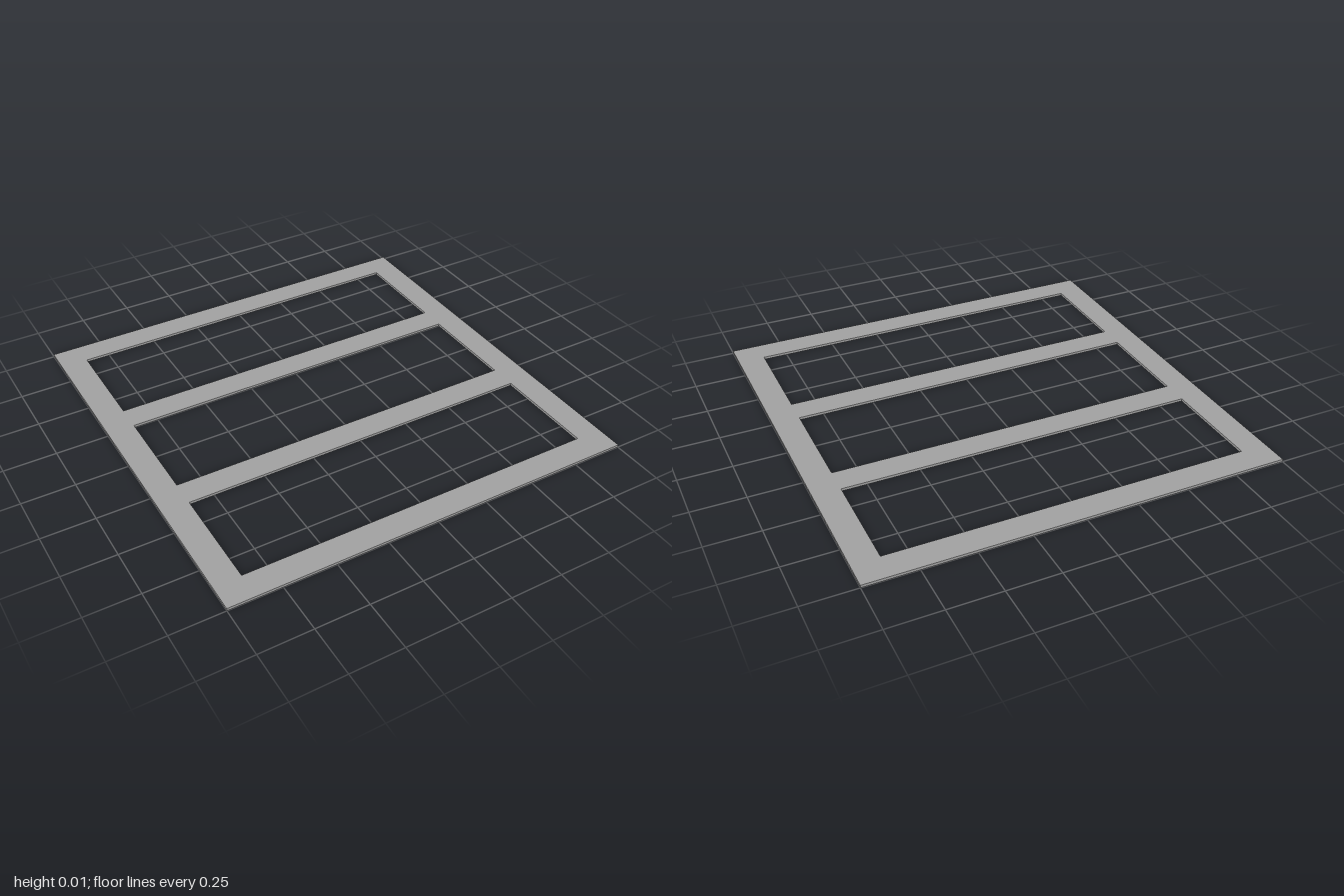
import * as THREE from 'three';

const THICKNESS = 0.013;
const BAR = 0.13;

// Closed rectangle given by its edges
function rectangle(PathType, x0, y0, x1, y1) {
  const path = new PathType();
  path.moveTo(x0, y0);
  path.lineTo(x1, y0);
  path.lineTo(x1, y1);
  path.lineTo(x0, y1);
  path.closePath();
  return path;
}

export function createModel() {
  const group = new THREE.Group();
  group.name = 'windowFrame';
  const grey = new THREE.MeshStandardMaterial({ color: 0xa0a0a0 });
  grey.name = 'grey';

  // Square outline with one opening between each pair of neighbouring rails
  const outline = rectangle(THREE.Shape, -1, -1, 1, 1);
  const railCentres = [-1 + BAR / 2, -0.305, 0.314, 1 - BAR / 2];
  for (let i = 0; i < railCentres.length - 1; i++) {
    outline.holes.push(rectangle(THREE.Path,
      -1 + BAR, railCentres[i] + BAR / 2,
      1 - BAR, railCentres[i + 1] - BAR / 2));
  }

  // Thin slab laid flat on the ground
  const geometry = new THREE.ExtrudeGeometry(outline, { depth: THICKNESS, bevelEnabled: false });
  geometry.rotateX(-Math.PI / 2);
  const frame = new THREE.Mesh(geometry, grey);
  frame.name = 'frameWithRails';
  group.add(frame);
  return group;
}
